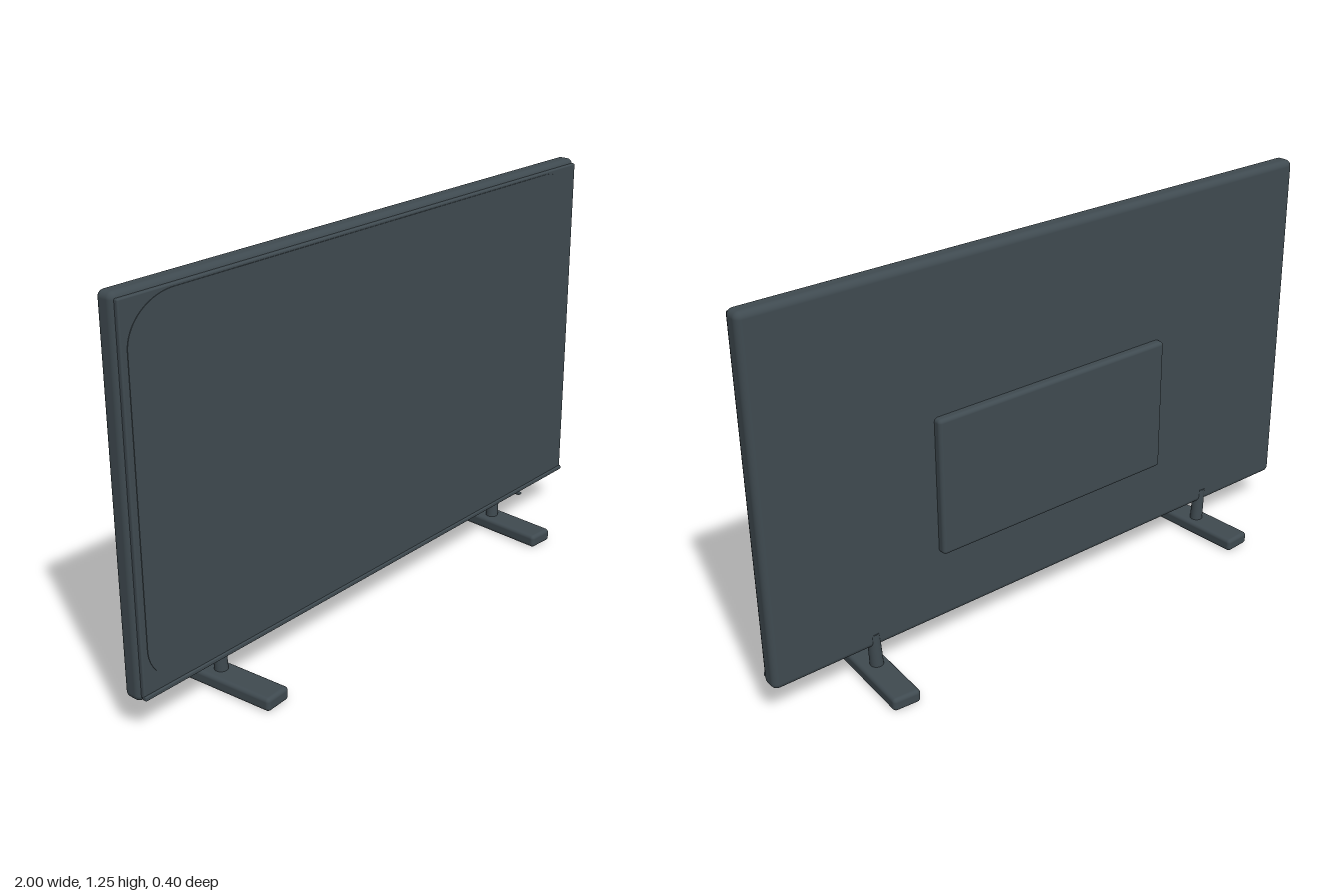
import * as THREE from 'three';
import { RoundedBoxGeometry } from 'three/addons/geometries/RoundedBoxGeometry.js';

export function createModel() {
  const model = new THREE.Group();
  model.name = 'television';
  const slate = new THREE.MeshStandardMaterial({ color: 0x3f4a50 });
  slate.name = 'dark slate';

  function add(name, geometry, x, y, z, parent = model) {
    const mesh = new THREE.Mesh(geometry, slate);
    mesh.name = name;
    mesh.position.set(x, y, z);
    parent.add(mesh);
    return mesh;
  }
  const rounded = (w, h, d, r) => new RoundedBoxGeometry(w, h, d, 4, r);

  // Cabinet, front panel and rear electronics housing
  add('cabinet', rounded(2, 1.135, 0.062, 0.02), 0, 0.678, 0);
  add('frontPanel', rounded(1.98, 1.105, 0.03, 0.005), 0, 0.678, 0.026);
  add('rearHousing', rounded(0.86, 0.44, 0.05, 0.012), 0, 0.56, -0.032);

  // Thin screen with rounded corners
  const w = 0.97, bottom = 0.135, top = 1.222, rx = 0.16, ry = 0.13;
  const outline = new THREE.Shape();
  outline.moveTo(-w + rx, bottom);
  outline.lineTo(w - rx, bottom);
  outline.absellipse(w - rx, bottom + ry, rx, ry, -Math.PI / 2, 0, false);
  outline.absellipse(w - rx, top - ry, rx, ry, 0, Math.PI / 2, false);
  outline.absellipse(-w + rx, top - ry, rx, ry, Math.PI / 2, Math.PI, false);
  outline.absellipse(-w + rx, bottom + ry, rx, ry, Math.PI, Math.PI * 1.5, false);
  add('screen', new THREE.ExtrudeGeometry(outline, { depth: 0.003, bevelEnabled: false, curveSegments: 16 }), 0, 0, 0.04);

  // Lower trim and small remote sensor
  add('lowerTrim', rounded(1.98, 0.014, 0.018, 0.004), 0, 0.127, 0.038);
  add('sensor', rounded(0.016, 0.008, 0.022, 0.003), 0.72, 0.12, 0.047);

  // Two splayed feet, each with a slightly leaning post
  for (const side of [-1, 1]) {
    const stand = new THREE.Group();
    stand.name = side < 0 ? 'rightStand' : 'leftStand';
    stand.position.x = side * 0.66;
    model.add(stand);
    const foot = add('foot', rounded(0.09, 0.042, 0.4, 0.012), 0, 0.021, 0, stand);
    foot.rotation.y = -side * 0.07;
    const post = add('post', new THREE.CylinderGeometry(0.019, 0.021, 0.13, 24), 0, 0.09, -0.016, stand);
    post.rotation.z = -side * 0.06;
  }
  return model;
}
